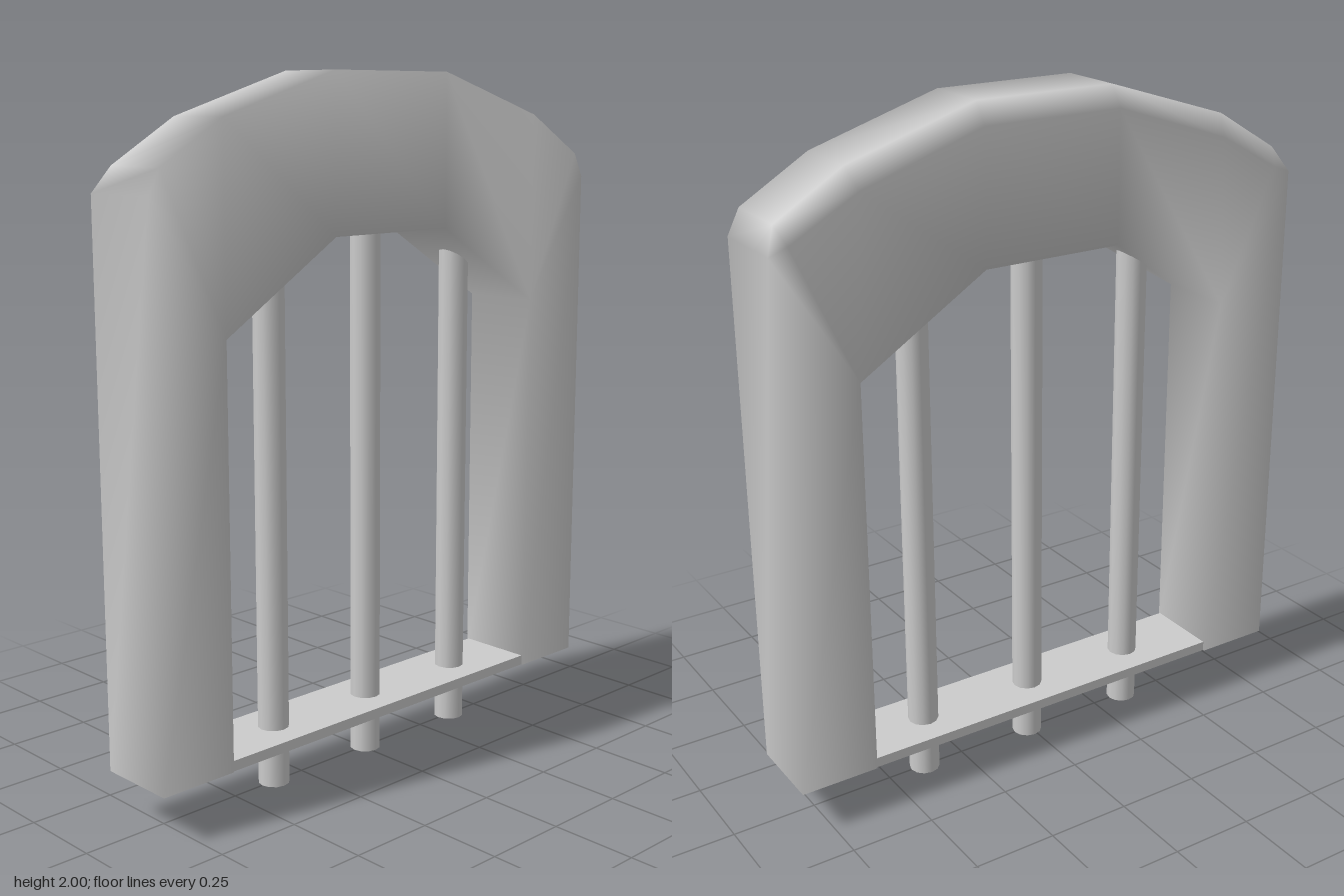
import * as THREE from 'three';
import { mergeVertices } from 'three/addons/utils/BufferGeometryUtils.js';

const HALF = 0.12; // half thickness of the frame

// Stations along the arch: outer z, outer y, inner z, inner y, chamfer dz, chamfer dy
const half = [
  [0.835, 0.14, 0.6, 0.14, 0, 0],
  [0.835, 1.69, 0.6, 1.32, 0, 0],
  [0.8, 1.76, 0.6, 1.32, 0.02, 0.05],
  [0.6, 1.88, 0.6, 1.32, 0.02, 0.06],
  [0.215, 2.0, 0.215, 1.56, 0, 0.06],
];

function frameGeometry() {
  const mirrored = half.map(([a, b, c, d, e, f]) => [-a, b, -c, d, -e, f]).reverse();
  const stations = [...half, ...mirrored];
  const pos = [];
  const index = [];
  // Five-sided section, with the top edge chamfered on the -x side only
  for (const [oz, oy, iz, iy, cz, cy] of stations) {
    pos.push(HALF, oy, oz);
    pos.push(cy ? -0.08 : -HALF, oy, oz);
    pos.push(-HALF, oy - cy, oz - cz);
    pos.push(-HALF, iy, iz);
    pos.push(HALF, iy, iz);
  }
  for (let s = 0; s < stations.length - 1; s++) {
    for (let k = 0; k < 5; k++) {
      const a = s * 5 + k, b = s * 5 + (k + 1) % 5;
      index.push(a, a + 5, b, b, a + 5, b + 5);
    }
  }
  let g = new THREE.BufferGeometry();
  g.setAttribute('position', new THREE.Float32BufferAttribute(pos, 3));
  g.setIndex(index);
  g = mergeVertices(g, 1e-4);
  g.computeVertexNormals();
  return g;
}

export function createModel() {
  const group = new THREE.Group();
  const material = new THREE.MeshStandardMaterial({ color: 0xcccccc });
  const add = (name, geometry, x, y, z) => {
    const mesh = new THREE.Mesh(geometry, material);
    mesh.name = name;
    mesh.position.set(x, y, z);
    group.add(mesh);
    return mesh;
  };

  // Arched surround
  add('archFrame', frameGeometry(), 0, 0, 0);

  // Flat undersides of the two legs
  for (const side of [1, -1]) {
    const foot = new THREE.PlaneGeometry(2 * HALF, 0.235).rotateX(Math.PI / 2);
    add(side > 0 ? 'frontFoot' : 'backFoot', foot, 0, 0.14, side * 0.7175);
  }

  // Sill plate between the legs
  add('sillPlate', new THREE.BoxGeometry(0.23, 0.03, 1.2), 0, 0.155, 0);

  // Vertical bars, passing through the sill
  [[0.355, 1.54], [-0.01, 1.6], [-0.38, 1.52]].forEach(([z, top], i) => {
    add(`bar${i + 1}`, new THREE.CylinderGeometry(0.045, 0.045, top, 12), 0, top / 2, z);
  });

  return group;
}
